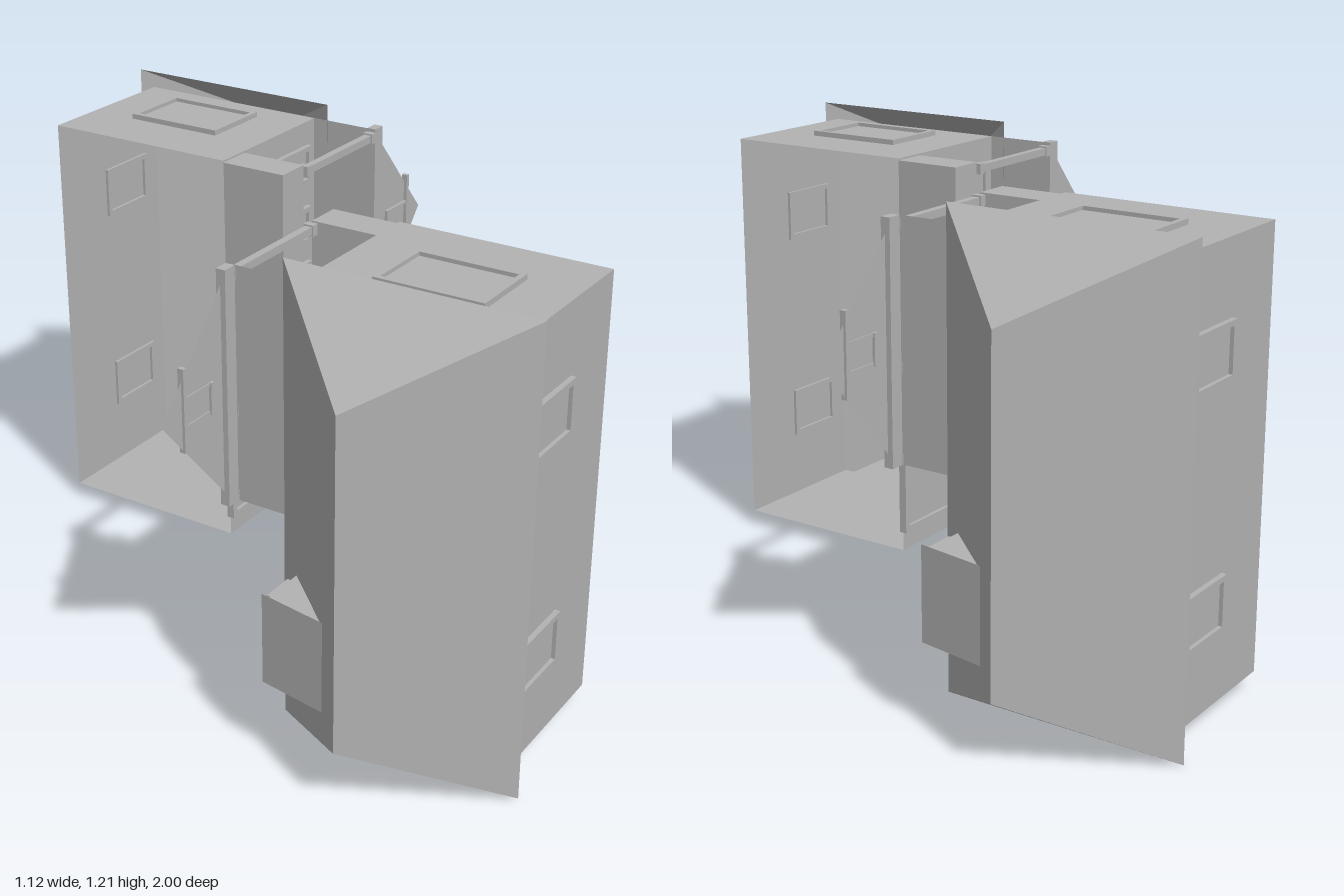
import * as THREE from 'three';

const grey = new THREE.MeshStandardMaterial({ color: 0xb2b2b2, side: THREE.DoubleSide });
grey.name = 'plain grey';

function add(parent, name, geometry) {
  const mesh = new THREE.Mesh(geometry, grey);
  mesh.name = name;
  parent.add(mesh);
  return mesh;
}

// Box given by its extents along each axis
function box(parent, name, x0, x1, y0, y1, z0, z1) {
  const mesh = add(parent, name, new THREE.BoxGeometry(x1 - x0, y1 - y0, z1 - z0));
  mesh.position.set((x0 + x1) / 2, (y0 + y1) / 2, (z0 + z1) / 2);
  return mesh;
}

// Flat convex face from corner points
function face(parent, name, ...pts) {
  const v = [];
  for (let i = 1; i < pts.length - 1; i++) v.push(...pts[0], ...pts[i], ...pts[i + 1]);
  const g = new THREE.BufferGeometry();
  g.setAttribute('position', new THREE.Float32BufferAttribute(v, 3));
  g.computeVertexNormals();
  return add(parent, name, g);
}

// Framed opening: a ring that pierces the wall, with a thin pane inside
function framed(parent, name, w, h, x, y, z, turn, rim = 0.014) {
  const group = new THREE.Group();
  group.name = name;
  const ring = (s, a, b) => s.moveTo(-a, -b).lineTo(a, -b).lineTo(a, b).lineTo(-a, b).closePath();
  const shape = ring(new THREE.Shape(), w / 2, h / 2);
  shape.holes.push(ring(new THREE.Path(), w / 2 - rim, h / 2 - rim));
  const frame = add(group, name + 'Frame', new THREE.ExtrudeGeometry(shape, { depth: 0.022, bevelEnabled: false }));
  frame.position.z = -0.008;
  const pane = add(group, name + 'Pane', new THREE.PlaneGeometry(w - 2 * rim, h - 2 * rim));
  pane.position.z = 0.004;
  group.position.set(x, y, z);
  group.rotation.y = turn;
  parent.add(group);
}

// House in its own frame: x along its length, y towards the roof, -z its front
function makeHouse() {
  const house = new THREE.Group();
  house.name = 'house';
  const x0 = 0.045, x1 = 1.16, floor = 0.07, eave = 0.507, front = 0.305, back = 0.86;

  // Walls, open underneath
  const walls = new THREE.Group();
  walls.name = 'walls';
  house.add(walls);
  for (const [name, z] of [['frontWall', front], ['backWall', back]])
    face(walls, name, [x0, floor, z], [x1, floor, z], [x1, eave, z], [x0, eave, z]);
  for (const x of [x0, x1])
    face(walls, 'endWall', [x, floor, front], [x, floor, back], [x, eave, back], [x, eave, front]);

  // Hip roof
  const roof = new THREE.Group();
  roof.name = 'hipRoof';
  house.add(roof);
  const f0 = [0, eave, 0.262], f1 = [1.205, eave, 0.262], b0 = [0, eave, 0.907], b1 = [1.205, eave, 0.907];
  const r0 = [0.18, 0.8, 0.584], r1 = [1.025, 0.8, 0.584];
  face(roof, 'frontSlope', f0, r0, r1, f1);
  face(roof, 'backSlope', b0, b1, r1, r0);
  face(roof, 'hipEnd', f0, b0, r0);
  face(roof, 'hipEnd', f1, r1, b1);

  // Windows and doors
  for (const x of [0.3, 0.905]) framed(house, 'backWindow', 0.14, 0.185, x, 0.358, back, 0);
  framed(house, 'endWindow', 0.28, 0.2, x1, 0.33, 0.585, Math.PI / 2);
  for (const x of [0.863, 1.04]) framed(house, 'frontWindow', 0.107, 0.185, x, 0.38, front, Math.PI);
  framed(house, 'frontDoor', 0.13, 0.31, 0.685, 0.32, front, Math.PI);
  framed(house, 'garageDoor', 0.36, 0.325, 0.28, 0.228, front, Math.PI, 0.018);

  // Dormer with a shallow shed roof
  const dormer = new THREE.Group();
  dormer.name = 'dormer';
  house.add(dormer);
  const dz = 0.345, d0 = 0.235, d1 = 0.455;
  face(dormer, 'dormerFront', [d0, 0.58, dz], [d0, 0.7, dz], [d1, 0.7, dz], [d1, 0.58, dz]);
  for (const x of [d0, d1]) face(dormer, 'dormerSide', [x, 0.58, dz], [x, 0.7, dz], [x, 0.73, 0.508]);
  face(dormer, 'dormerRoof', [0.225, 0.706, 0.331], [0.465, 0.706, 0.331], [0.465, 0.735, 0.512], [0.225, 0.735, 0.512]);
  for (const x of [0.294, 0.402]) framed(dormer, 'dormerWindow', 0.095, 0.085, x, 0.642, dz, Math.PI, 0.01);

  // Porch: deck, steps, columns, beam and gable
  const porch = new THREE.Group();
  porch.name = 'porch';
  house.add(porch);
  box(porch, 'deck', 0.557, 1.155, floor, 0.166, 0.12, front);
  box(porch, 'lowerStep', 0.56, 0.8, floor, 0.114, 0.052, 0.12);
  box(porch, 'upperStep', 0.56, 0.8, 0.14, 0.166, 0.08, 0.12);
  for (const x of [0.57, 0.795, 1.137]) {
    box(porch, 'column', x - 0.01, x + 0.01, 0.166, 0.51, 0.112, 0.132);
    box(porch, 'columnCap', x - 0.014, x + 0.014, 0.49, 0.51, 0.108, 0.136);
    box(porch, 'columnBase', x - 0.014, x + 0.014, 0.166, 0.186, 0.108, 0.136);
  }
  box(porch, 'beam', 0.557, 1.16, 0.51, 0.548, 0.109, 0.134);
  face(porch, 'porchCeiling', [0.557, 0.508, 0.13], [1.16, 0.508, 0.13], [1.16, 0.508, 0.575], [0.557, 0.508, 0.575]);
  face(porch, 'gable', [0.555, 0.515, 0.12], [0.858, 0.779, 0.12], [1.16, 0.515, 0.12]);

  // Gable vent
  box(porch, 'ventLintel', 0.765, 0.975, 0.693, 0.705, 0.111, 0.127);
  box(porch, 'ventSill', 0.82, 0.9, 0.588, 0.6, 0.111, 0.127);
  for (const x of [0.825, 0.895]) box(porch, 'ventSide', x - 0.004, x + 0.004, 0.6, 0.693, 0.112, 0.123);
  return house;
}

export function createModel() {
  const model = new THREE.Group();
  model.name = 'twoHouses';

  // Two houses tipped on end, turned half a circle from each other
  const s = Math.SQRT1_2;
  for (const k of [1, -1]) {
    const house = makeHouse();
    const basis = new THREE.Matrix4().makeBasis(
      new THREE.Vector3(0, 1, 0), new THREE.Vector3(-s * k, 0, s * k), new THREE.Vector3(s * k, 0, s * k));
    house.quaternion.setFromRotationMatrix(basis);
    model.add(house);
  }

  // Small floating piece between the houses
  const hub = new THREE.Group();
  hub.name = 'centrePiece';
  hub.position.y = 0.61;
  model.add(hub);
  box(hub, 'hubBody', -0.032, 0.032, -0.012, 0.012, -0.024, 0.028);
  box(hub, 'hubHead', -0.015, 0.015, -0.015, 0.015, -0.058, -0.036);
  box(hub, 'hubNeck', -0.005, 0.005, -0.005, 0.005, -0.036, -0.024);
  for (const [x, z] of [[-0.047, 0.003], [0.05, -0.01]]) {
    box(hub, 'hubPad', x - 0.01, x + 0.01, -0.015, 0.015, z - 0.013, z + 0.013);
    box(hub, 'hubArm', Math.min(x, 0), Math.max(x, 0), -0.004, 0.004, z - 0.004, z + 0.004);
  }
  for (const x of [-0.028, 0.028]) box(hub, 'hubLeg', x - 0.004, x + 0.004, -0.008, 0, 0.024, 0.04);
  return model;
}
